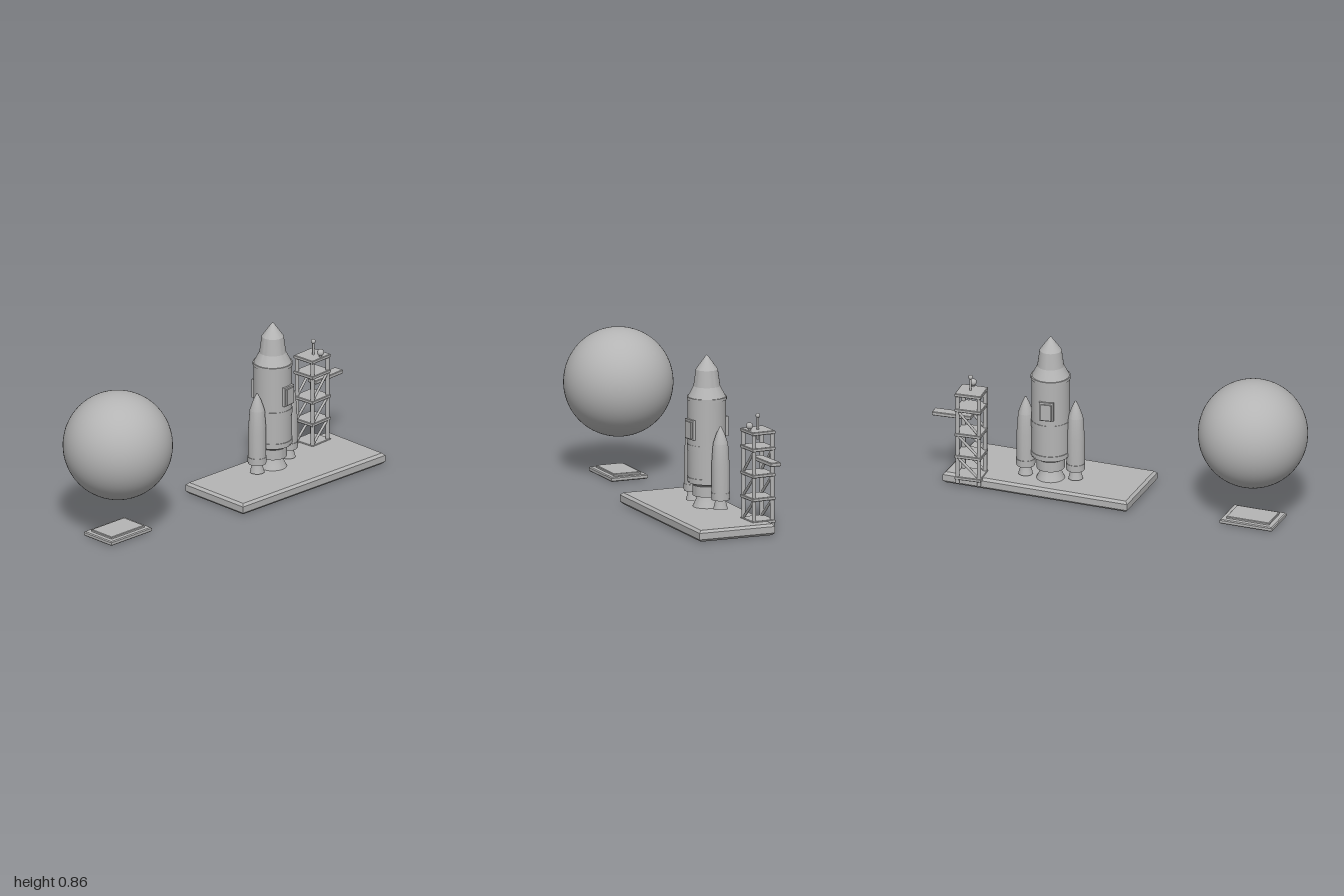
import * as THREE from 'three';
import { toCreasedNormals } from 'three/addons/utils/BufferGeometryUtils.js';

const grey = new THREE.MeshStandardMaterial({ color: 0xb4b4b4 });
grey.name = 'plain grey';

function add(parent, name, geometry, x = 0, y = 0, z = 0) {
  const mesh = new THREE.Mesh(geometry, grey);
  mesh.name = name;
  mesh.position.set(x, y, z);
  parent.add(mesh);
  return mesh;
}

function group(parent, name, x, z, turn = 0) {
  const g = new THREE.Group();
  g.name = name;
  g.position.set(x, 0, z);
  g.rotation.y = turn;
  parent.add(g);
  return g;
}

// Round body from [radius, height] pairs, bottom to top, with crisp rims
function turned(profile, sides = 48) {
  const points = profile.map(([r, y]) => new THREE.Vector2(r, y));
  return toCreasedNormals(new THREE.LatheGeometry(points, sides), 0.3);
}

// Flat slab with chamfered edges, standing on y = 0
function slab(w, h, d, bevel) {
  const x = w / 2 - bevel, z = d / 2 - bevel;
  const shape = new THREE.Shape([[-x, -z], [x, -z], [x, z], [-x, z]].map(p => new THREE.Vector2(...p)));
  const g = new THREE.ExtrudeGeometry(shape, {
    depth: h - 2 * bevel, bevelEnabled: true, bevelThickness: bevel, bevelSize: bevel, bevelSegments: 1,
  });
  return g.rotateX(-Math.PI / 2).translate(0, bevel, 0);
}

// Round bar between two points
function bar(parent, name, a, b, radius) {
  const from = new THREE.Vector3(...a), to = new THREE.Vector3(...b);
  const dir = to.clone().sub(from);
  const mesh = add(parent, name, new THREE.CylinderGeometry(radius, radius, dir.length(), 12));
  mesh.position.copy(from).add(to).multiplyScalar(0.5);
  mesh.quaternion.setFromUnitVectors(new THREE.Vector3(0, 1, 0), dir.normalize());
}

function buildRocket(parent) {
  const rocket = group(parent, 'rocket', 0.401, -0.007, 0.15);
  add(rocket, 'mainNozzle', turned([[0, 0.061], [0.073, 0.061], [0.062, 0.085], [0.053, 0.105], [0.048, 0.122], [0, 0.122]]));
  add(rocket, 'engineSection', turned([[0, 0.12], [0.073, 0.12], [0.073, 0.175], [0.098, 0.198], [0, 0.198]]));
  add(rocket, 'body', turned([[0, 0.19], [0.099, 0.19], [0.099, 0.63], [0, 0.63]]));
  for (const [low, high] of [[0.198, 0.219], [0.356, 0.392], [0.625, 0.64]]) {
    const r = low === 0.356 ? 0.101 : 0.103;
    add(rocket, 'bodyRing', turned([[0, low], [r, low], [r, high], [0, high]]));
  }
  add(rocket, 'capsule', turned([[0.098, 0.638], [0.069, 0.695], [0.057, 0.782], [0.006, 0.853], [0, 0.858]]));

  // Hatches on front and back
  for (const turn of [0, Math.PI]) {
    const hatch = group(rocket, 'hatch', 0, 0, turn);
    add(hatch, 'hatchFrame', new THREE.BoxGeometry(0.075, 0.104, 0.03), 0, 0.476, 0.093);
    add(hatch, 'hatchPanel', new THREE.BoxGeometry(0.056, 0.088, 0.02), 0, 0.474, 0.106);
  }

  // Side boosters
  for (const side of [-1, 1]) {
    const booster = group(rocket, side > 0 ? 'leftBooster' : 'rightBooster', side * 0.132, 0);
    add(booster, 'boosterNozzle', turned([[0, 0.07], [0.038, 0.07], [0.031, 0.095], [0.026, 0.12], [0, 0.12]], 32));
    add(booster, 'boosterBody', turned([[0, 0.119], [0.047, 0.119], [0.047, 0.3], [0.039, 0.414],
      [0.022, 0.465], [0.004, 0.504], [0, 0.507]], 32));
    add(booster, 'boosterBand', turned([[0, 0.127], [0.0495, 0.127], [0.0495, 0.157], [0, 0.157]], 32));
  }
}

function buildTower(parent) {
  const tower = group(parent, 'launchTower', 0.795, -0.121, 0.07);
  const px = 0.058, pz = 0.053;
  for (const x of [-px, px]) for (const z of [-pz, pz]) {
    bar(tower, 'towerPost', [x, 0.025, z], [x, 0.52, z], 0.011);
  }

  // Floors and top deck
  const levels = [0.047, 0.168, 0.292, 0.43, 0.516];
  for (const y of levels) add(tower, 'towerFloor', slab(0.141, 0.018, 0.131, 0.003), 0, y);

  // Diagonal braces on front and back
  for (let i = 0; i < 3; i++) for (const z of [-pz, pz]) {
    bar(tower, 'towerBrace', [-px, levels[i] + 0.015, z], [px, levels[i + 1] + 0.003, z], 0.007);
  }

  // Access arm, mast and beacon
  add(tower, 'accessArm', slab(0.21, 0.021, 0.056, 0.003), 0.1, 0.375, 0.002);
  bar(tower, 'mast', [0.005, 0.48, 0.003], [0.005, 0.6, 0.003], 0.006);
  add(tower, 'mastBall', new THREE.SphereGeometry(0.012, 20, 14), 0.005, 0.607, 0.003);
  bar(tower, 'beaconStem', [0.006, 0.53, 0.052], [0.006, 0.55, 0.052], 0.008);
  add(tower, 'beaconBall', new THREE.SphereGeometry(0.018, 24, 16), 0.006, 0.558, 0.052);
}

export function createModel() {
  const model = new THREE.Group();
  model.name = 'launchSiteAndGlobe';

  // Globe hovering over its stand
  add(model, 'globe', new THREE.SphereGeometry(0.284, 64, 48), -0.716, 0.493, 0);
  add(model, 'standBase', slab(0.29, 0.024, 0.204, 0.005), -0.716, 0, 0);
  add(model, 'standTop', slab(0.235, 0.017, 0.15, 0.003), -0.716, 0.018, 0);

  // Launch pad
  add(model, 'launchPad', slab(1.02, 0.06, 0.425, 0.013), 0.43, 0, 0.058);

  buildRocket(model);
  buildTower(model);
  return model;
}
